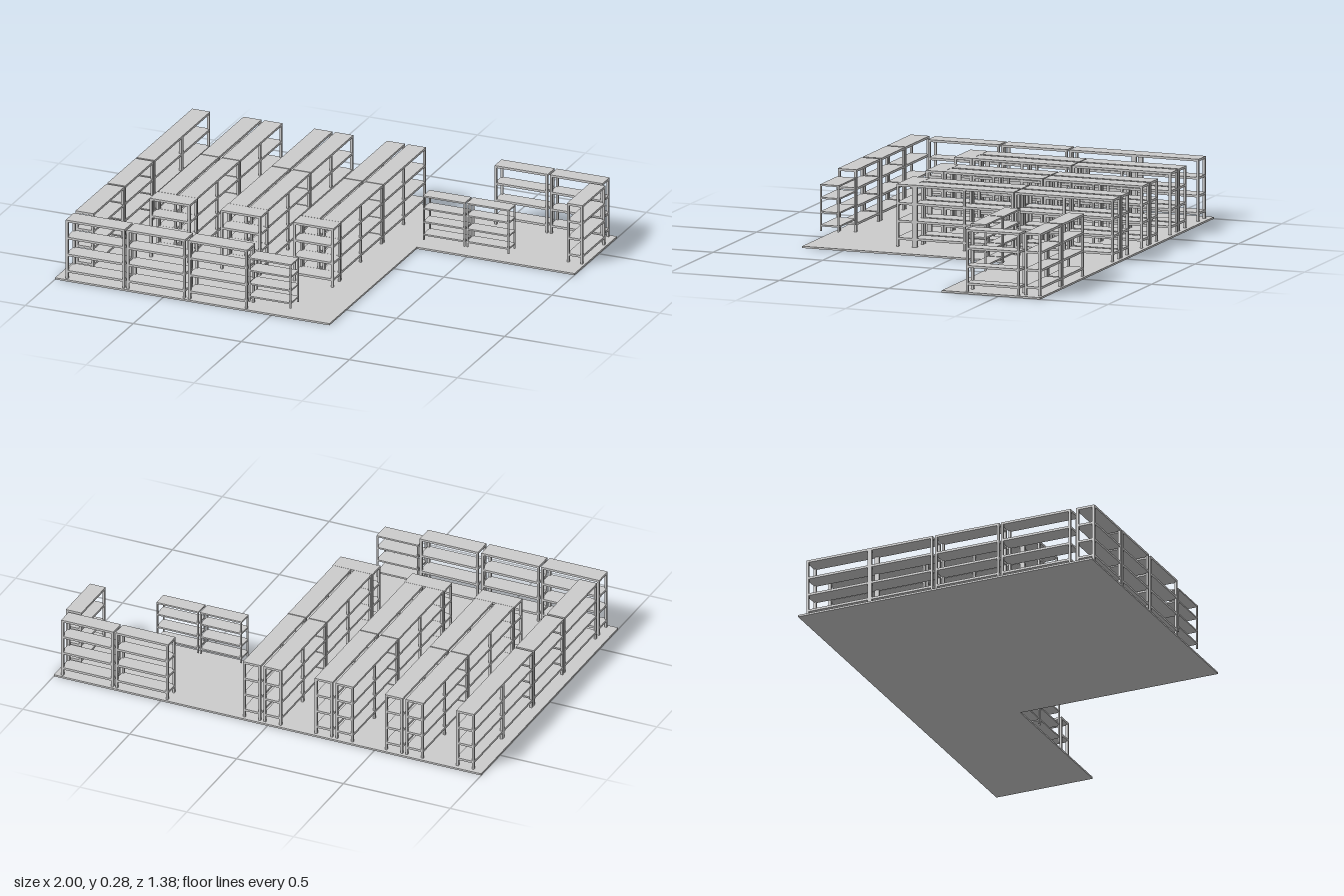
import * as THREE from 'three';

const material = new THREE.MeshStandardMaterial({ color: 0xcccccc, flatShading: true });
const FLOOR = 0.008;

// Box given by its extents
function box(name, x0, x1, y0, y1, z0, z1) {
  const mesh = new THREE.Mesh(new THREE.BoxGeometry(x1 - x0, y1 - y0, z1 - z0), material);
  mesh.position.set((x0 + x1) / 2, (y0 + y1) / 2, (z0 + z1) / 2);
  mesh.name = name;
  return mesh;
}

const TALL = { levels: [0.047, 0.122, 0.199, 0.277], base: FLOOR, board: 0.01, post: 0.01 };
const LOW = { levels: [0.069, 0.127, 0.188, 0.244], base: 0.042, board: 0.007, post: 0.006 };

// Open rack: four boards on corner posts, optionally with posts at mid length
function rack(name, x0, x1, z0, z1, style = TALL, midPosts = false) {
  const g = new THREE.Group();
  g.name = name;
  const { levels, base, board, post: p } = style;
  const top = levels[levels.length - 1];
  for (const y of levels) g.add(box('shelfBoard', x0, x1, y - board, y, z0, z1));
  const zs = [z0, z1 - p];
  if (midPosts) zs.push((z0 + z1 - p) / 2);
  for (const x of [x0, x1 - p])
    for (const z of zs) g.add(box('post', x, x + p, base, top - 0.001, z, z + p));
  return g;
}

export function createModel() {
  const model = new THREE.Group();
  model.name = 'shopShelving';

  // L-shaped floor, drawn in (x, -z) and laid flat
  const outline = [[-1, -0.685], [0.27, -0.685], [0.27, 0.24], [1, 0.24], [1, 0.69], [-1, 0.69]];
  const shape = new THREE.Shape(outline.map(([x, y]) => new THREE.Vector2(x, y)));
  const geometry = new THREE.ExtrudeGeometry(shape, { depth: FLOOR, bevelEnabled: false });
  const floor = new THREE.Mesh(geometry.rotateX(-Math.PI / 2), material);
  floor.name = 'floor';
  model.add(floor);

  // Racks along the right-hand wall of the hall
  for (const [z0, z1] of [[-0.67, -0.375], [-0.375, -0.08], [-0.07, 0.23], [0.24, 0.565]])
    model.add(rack('sideWallRack', -0.957, -0.874, z0, z1));

  // Front row, ending in a lower rack
  for (const [x0, x1] of [[-0.955, -0.683], [-0.673, -0.403], [-0.388, -0.115]])
    model.add(rack('frontRack', x0, x1, 0.59, 0.675));
  model.add(rack('lowFrontRack', -0.108, 0.087, 0.59, 0.675, LOW));

  // Three double-sided aisles, each closed by an end rack
  for (const x of [-0.632, -0.304, 0.032]) {
    const aisle = new THREE.Group();
    aisle.name = 'aisle';
    for (const [z0, z1] of [[-0.675, -0.225], [-0.22, 0.23]]) {
      aisle.add(rack('aisleRack', x - 0.09, x - 0.007, z0, z1, TALL, true));
      aisle.add(rack('aisleRack', x + 0.007, x + 0.09, z0, z1, TALL, true));
    }
    aisle.add(rack('endRack', x - 0.093, x + 0.093, 0.231, 0.312));
    model.add(aisle);
  }

  // Annex: back wall, end wall and low racks by the inner edge
  model.add(rack('annexBackRack', 0.47, 0.716, -0.68, -0.606));
  model.add(rack('annexBackRack', 0.726, 0.97, -0.68, -0.606));
  model.add(rack('annexEndRack', 0.918, 0.99, -0.59, -0.347));
  model.add(rack('lowAnnexRack', 0.294, 0.488, -0.32, -0.25, LOW));
  model.add(rack('lowAnnexRack', 0.496, 0.692, -0.32, -0.25, LOW));

  return model;
}
